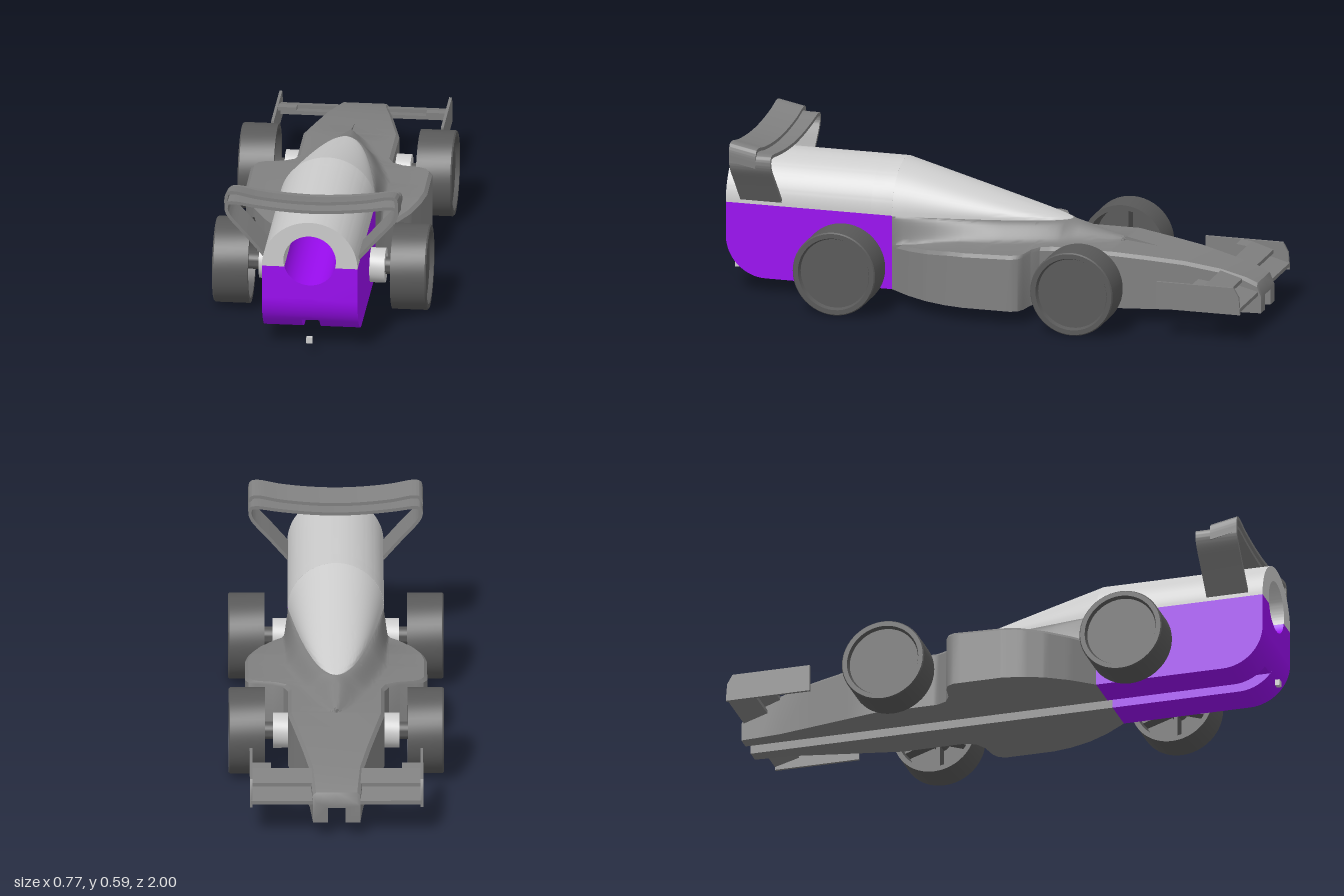
import * as THREE from 'three';
import { toCreasedNormals } from 'three/addons/utils/BufferGeometryUtils.js';

const mat = (color) => new THREE.MeshStandardMaterial({ color, side: THREE.DoubleSide });
const light = mat(0xcccccc), dark = mat(0x808080), tyre = mat(0x595959), purple = mat(0x9a0cf0);

const REAR = 0.985, JOIN = 0.36, HALF = 0.173, WAIST = 0.33;
const FLOOR = 0.055, SLOT = 0.032, SLOT_TOP = 0.112;
const HOLE_Y = 0.355, HOLE_R = 0.095, HOLE_END = 0.5;
const chord = Math.asin((HOLE_Y - WAIST) / HOLE_R); // where the hole crosses the waist

function part(name, geometry, material, crease = 0.6) {
  const mesh = new THREE.Mesh(toCreasedNormals(geometry, crease), material);
  mesh.name = name;
  return mesh;
}

// Piecewise linear value from [position, value] pairs
function lerpTable(table, z) {
  for (let i = 1; i < table.length; i++) {
    const [z0, a] = table[i - 1], [z1, b] = table[i];
    if (z <= z1) return a + (b - a) * Math.max(0, (z - z0) / (z1 - z0));
  }
  return table[table.length - 1][1];
}

// Completes a half section (centre bottom, up the +x side, centre top) with its mirror image
const mirrorLoop = (half) => [...half, ...half.slice(1, -1).reverse().map(([x, y]) => [-x, y])];

// Skins closed sections along z and caps both ends
function loft(zs, halfAt) {
  const loops = zs.map((z) => mirrorLoop(halfAt(z)));
  const n = loops[0].length, pos = [], index = [];
  loops.forEach((loop, i) => loop.forEach(([x, y]) => pos.push(x, y, zs[i])));
  for (let i = 0; i < zs.length - 1; i++) {
    for (let j = 0; j < n; j++) {
      const a = i * n + j, b = i * n + ((j + 1) % n);
      index.push(a, b, a + n, b, b + n, a + n);
    }
  }
  [0, zs.length - 1].forEach((i) => {
    const contour = loops[i].map(([x, y]) => new THREE.Vector2(x, y));
    for (const [a, b, c] of THREE.ShapeUtils.triangulateShape(contour, [])) {
      if (i) index.push(i * n + a, i * n + b, i * n + c);
      else index.push(a, c, b);
    }
  });
  const g = new THREE.BufferGeometry();
  g.setAttribute('position', new THREE.Float32BufferAttribute(pos, 3));
  g.setIndex(index);
  return g;
}

const steps = (a, b, n) => Array.from({ length: n + 1 }, (_, i) => a + ((b - a) * i) / n);

// Plan half-width, deck height and canopy ridge along the car
const WIDTH = [[-1, 0.085], [-0.85, 0.097], [-0.47, 0.173], [-0.24, 0.173], [-0.2, 0.19], [-0.178, 0.23],
  [-0.168, 0.29], [-0.155, 0.315], [-0.13, 0.328], [0.05, 0.328], [0.12, 0.315], [0.2, 0.285], [0.28, 0.237], [JOIN, HALF]];
const DECK = [[-1, 0.13], [-0.985, 0.165], [-0.94, 0.185], [-0.85, 0.21], [-0.72, 0.235], [-0.59, 0.25],
  [-0.47, 0.262], [-0.15, 0.262], [0.1, 0.255], [JOIN, 0.225]];
const ridge = (z) => 0.503 - 0.275 * (JOIN - z);
const canopyHalf = (z) => HALF * Math.sqrt(Math.max(0, (z + 0.27) / 0.63));

// Nose, sidepods and the fairing that rises to the canopy
function chassisHalf(z) {
  const w = lerpTable(WIDTH, z), deck = lerpTable(DECK, z);
  const c = Math.min(canopyHalf(z), w);
  const base = Math.max(c, Math.min(w, 0.19 * Math.pow(THREE.MathUtils.clamp((z + 0.47) / 0.45, 0, 1), 0.6)));
  const top = Math.max(deck, Math.min(ridge(z), 0.328));
  const pts = [[0, SLOT_TOP], [SLOT, SLOT_TOP], [SLOT, FLOOR], [w, FLOOR], [w, deck - 0.012], [w - Math.min(0.012, w - base), deck]];
  for (let i = 0; i <= 10; i++) {
    const t = i / 10;
    pts.push([base + (c - base) * t, deck + (top - deck) * (0.5 - 0.5 * Math.cos(Math.PI * t))]);
  }
  pts.push([0, top]);
  return pts;
}

function canopyHalfSection(z) {
  const c = canopyHalf(z), pts = [[0, 0.327]];
  for (let i = 0; i <= 16; i++) {
    const a = (i / 16) * Math.PI / 2;
    pts.push([c * Math.cos(a), 0.328 + (ridge(z) - 0.328) * Math.sin(a)]);
  }
  return pts;
}

// Lower rear block with rounded rear corner, slot, and optionally the lower part of the hole
function blockHalf(z, holed) {
  const r = 0.15, d = Math.max(0, z - (REAR - r));
  const low = FLOOR + r - Math.sqrt(Math.max(0, r * r - d * d));
  const slot = Math.max(SLOT_TOP, low);
  const pts = [[0, slot], [SLOT, slot], [SLOT, low], [HALF, low], [HALF, WAIST]];
  if (!holed) return [...pts, [0, WAIST]];
  for (let i = 0; i <= 12; i++) {
    const a = -chord + (chord - Math.PI / 2) * (i / 12);
    pts.push([HOLE_R * Math.cos(a), HOLE_Y + HOLE_R * Math.sin(a)]);
  }
  return pts;
}

function extrude(shape, z0, z1) {
  return new THREE.ExtrudeGeometry(shape, { depth: z1 - z0, bevelEnabled: false, curveSegments: 32 }).translate(0, 0, z0);
}

// Half-round cover above the block
function coverShape(holed) {
  const s = new THREE.Shape();
  s.moveTo(HALF, WAIST);
  s.absarc(0, WAIST, HALF, 0, Math.PI, false);
  if (holed) s.absarc(0, HOLE_Y, HOLE_R, Math.PI + chord, -chord, true);
  return s;
}

// Thin symmetric strip following a smooth path seen from the front
function strip(half, thickness, z0, z1) {
  const pts = [...half, ...half.slice(0, -1).reverse().map(([x, y]) => [-x, y])];
  const curve = new THREE.CatmullRomCurve3(pts.map(([x, y]) => new THREE.Vector3(x, y, 0)), false, 'centripetal');
  const side = (s) => steps(0, 1, 90).map((t) => {
    const p = curve.getPoint(t), d = curve.getTangent(t);
    return new THREE.Vector2(p.x - d.y * s, p.y + d.x * s);
  });
  return extrude(new THREE.Shape([...side(thickness / 2), ...side(-thickness / 2).reverse()]), z0, z1);
}

function wheel(side, z, name) {
  const g = new THREE.Group();
  g.name = name;
  const profile = [[0, 0.355], [0.128, 0.355], [0.137, 0.257], [0.155, 0.257], [0.155, 0.382], [0.151, 0.387],
    [0.134, 0.387], [0.128, 0.372], [0, 0.372]].map(([r, y]) => new THREE.Vector2(r, y));
  g.add(part('tyre', new THREE.LatheGeometry(profile, 48), tyre));
  g.add(part('axle', new THREE.CylinderGeometry(0.032, 0.032, 0.16, 24).translate(0, 0.285, 0), tyre));
  g.add(part('collar', new THREE.CylinderGeometry(0.063, 0.063, 0.065, 32).translate(0, 0.195, 0), light));
  for (let i = 0; i < 5; i++) {
    g.add(part('spoke', new THREE.BoxGeometry(0.12, 0.05, 0.014).translate(0.073, 0.33, 0).rotateY((i * Math.PI * 2) / 5), tyre));
  }
  g.rotation.z = -side * Math.PI / 2;
  g.position.set(0, 0.157, z);
  return g;
}

function frontWing(side) {
  const g = new THREE.Group();
  g.name = side > 0 ? 'leftFrontWing' : 'rightFrontWing';
  // Wing element: a sloped slab between two (z, y) points
  const slab = (name, x0, x1, z0, y0, z1, y1) => {
    const s = new THREE.Shape([[z0, y0], [z1, y1], [z1, y1 - 0.014], [z0, y0 - 0.014]].map(([z, y]) => new THREE.Vector2(-z, y)));
    g.add(part(name, extrude(s, x0, x1).rotateY(Math.PI / 2).scale(1, 1, 1).translate(side < 0 ? -x0 - x1 : 0, 0, 0), dark));
  };
  slab('mainPlane', 0.06, 0.308, -0.99, 0.135, -0.9, 0.16);
  slab('upperFlap', 0.08, 0.308, -0.93, 0.18, -0.85, 0.205);
  slab('flapTab', 0.235, 0.308, -0.85, 0.205, -0.81, 0.21);
  const plate = new THREE.Shape([[0.675, 0.11], [0.99, 0.11], [0.985, 0.175], [0.965, 0.21], [0.675, 0.21]].map(([z, y]) => new THREE.Vector2(z, y)));
  g.add(part('endPlate', extrude(plate, -0.005, 0.005).rotateY(Math.PI / 2).translate(side * 0.307, 0, 0), dark));
  return g;
}

export function createModel() {
  const car = new THREE.Group();
  car.name = 'racingCar';

  // Front body and canopy
  const zs = [...new Set([...WIDTH, ...DECK].map(([z]) => z).concat(steps(-0.45, 0.34, 32)))].sort((a, b) => a - b);
  car.add(part('chassis', loft(zs, chassisHalf), dark));
  car.add(part('canopy', loft(steps(0, 1, 24).map((t) => -0.27 + 0.63 * t * t), canopyHalfSection), light));

  // Rear block and cover, solid ahead of the hole
  const holeFront = HOLE_END - 0.06;
  car.add(part('lowerBlock', loft([JOIN, holeFront], (z) => blockHalf(z, false)), purple));
  const corner = steps(0, Math.PI / 2, 16).map((a) => REAR - 0.15 + 0.15 * Math.sin(a));
  car.add(part('lowerRearBlock', loft([holeFront, ...corner], (z) => blockHalf(z, true)), purple));
  car.add(part('cover', extrude(coverShape(false), JOIN, holeFront), light));
  car.add(part('rearCover', extrude(coverShape(true), holeFront, REAR), light));

  // Conical end of the hole, coloured like the walls around it
  const cone = (start, length) => {
    const g = new THREE.ConeGeometry(HOLE_R, 0.055, 40, 1, true, start, length);
    return g.rotateX(-Math.PI / 2).translate(0, HOLE_Y, HOLE_END - 0.0275);
  };
  const low = Math.PI - 2 * chord;
  car.add(part('holeEndUpper', cone(low / 2, Math.PI * 2 - low), light));
  car.add(part('holeEndLower', cone(-low / 2, low), purple));

  // Rear wing: supporting loop and tilted upper element
  car.add(part('rearWingLoop', strip([[0.17, 0.348], [0.235, 0.424], [0.3, 0.5], [0.308, 0.525], [0.303, 0.543], [0.285, 0.547],
    [0.2, 0.536], [0.1, 0.526], [0, 0.522]], 0.012, 0.775, 0.93), dark));
  const upper = strip([[0.308, 0.525], [0.308, 0.565], [0.302, 0.582], [0.28, 0.586], [0.2, 0.571], [0.1, 0.56], [0, 0.556]], 0.012, 0.83, 0.93);
  const p = upper.attributes.position;
  for (let i = 0; i < p.count; i++) p.setY(i, p.getY(i) - 0.2 * (0.93 - p.getZ(i)));
  car.add(part('rearWingUpper', upper, dark));

  // Wheels and front wings
  for (const side of [1, -1]) {
    const label = side > 0 ? 'left' : 'right';
    car.add(wheel(side, 0.515, label + 'RearWheel'), wheel(side, -0.378, label + 'NoseWheel'));
    car.add(frontWing(side));
  }

  // Small loose block behind the slot
  const block = part('smallBlock', new THREE.BoxGeometry(0.022, 0.022, 0.016), light);
  block.position.set(0, 0.052, 0.992);
  car.add(block);
  return car;
}
